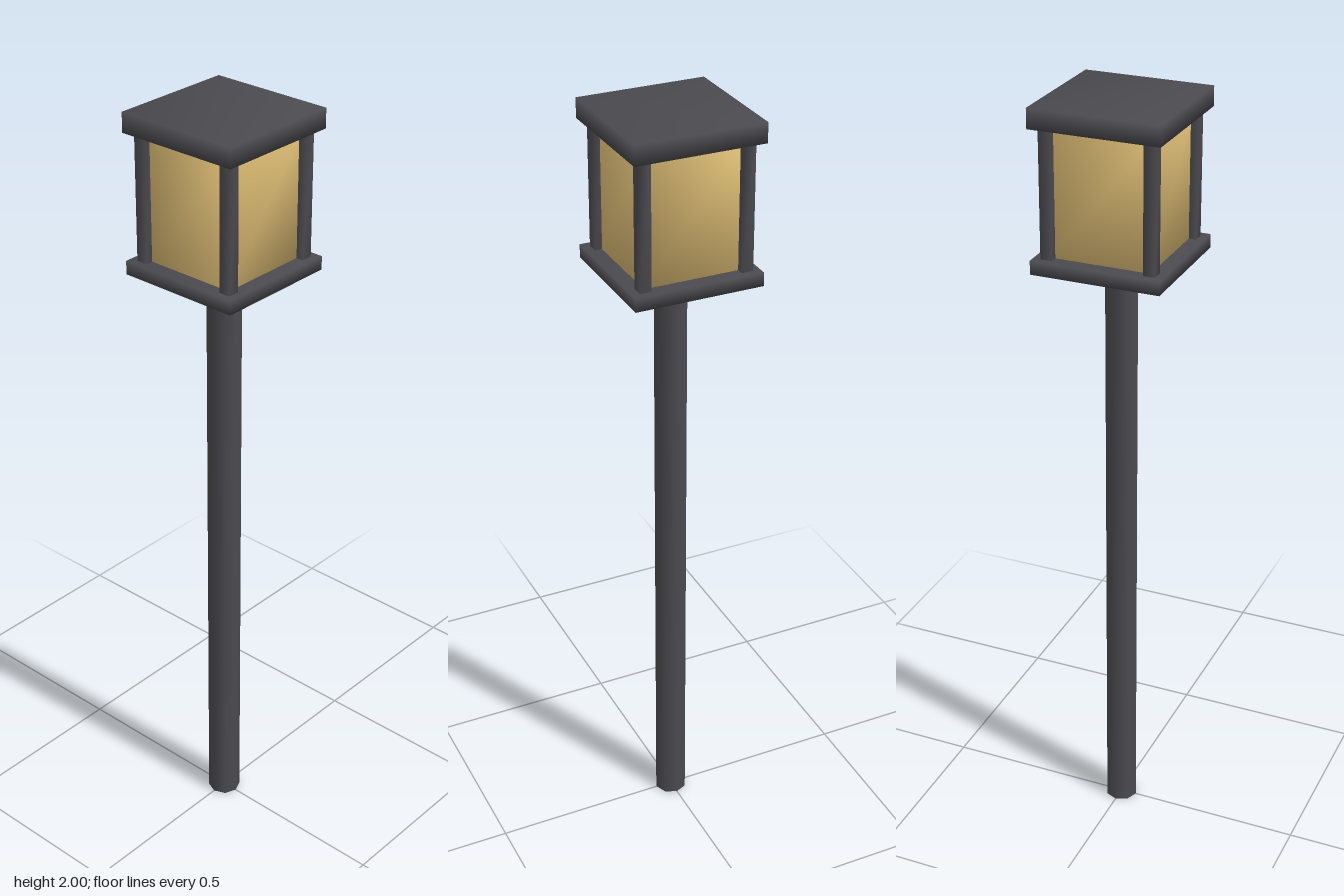
import * as THREE from 'three';
import { mergeVertices } from 'three/addons/utils/BufferGeometryUtils.js';

// Weld shared corners so the shading runs smoothly around every edge
function soften(geometry) {
  geometry.deleteAttribute('normal');
  geometry.deleteAttribute('uv');
  const welded = mergeVertices(geometry, 1e-4);
  welded.computeVertexNormals();
  return welded;
}

export function createModel() {
  const metal = new THREE.MeshStandardMaterial({ color: 0x4b4a4f });
  metal.name = 'dark metal';
  const amber = new THREE.MeshStandardMaterial({ color: 0xd9b972 });
  amber.name = 'amber glass';

  const model = new THREE.Group();
  model.name = 'lampPost';

  function add(name, geometry, material, x, y, z) {
    const mesh = new THREE.Mesh(soften(geometry), material);
    mesh.name = name;
    mesh.position.set(x, y, z);
    model.add(mesh);
  }

  // Square block spanning bottom to top
  function block(name, width, bottom, top, material, x = 0, z = 0) {
    const geometry = new THREE.BoxGeometry(width, top - bottom, width);
    add(name, geometry, material, x, (bottom + top) / 2, z);
  }

  // Pole
  add('pole', new THREE.CylinderGeometry(0.043, 0.043, 1.6, 8), metal, 0, 0.8, 0);

  // Lantern tray, glass and roof
  block('lanternBase', 0.33, 1.595, 1.63, metal);
  block('glass', 0.254, 1.63, 1.95, amber);
  block('roof', 0.33, 1.95, 2, metal);

  // Corner posts
  for (const x of [-1, 1]) {
    for (const z of [-1, 1]) {
      block('cornerPost', 0.03, 1.63, 1.95, metal, x * 0.131, z * 0.131);
    }
  }

  return model;
}
